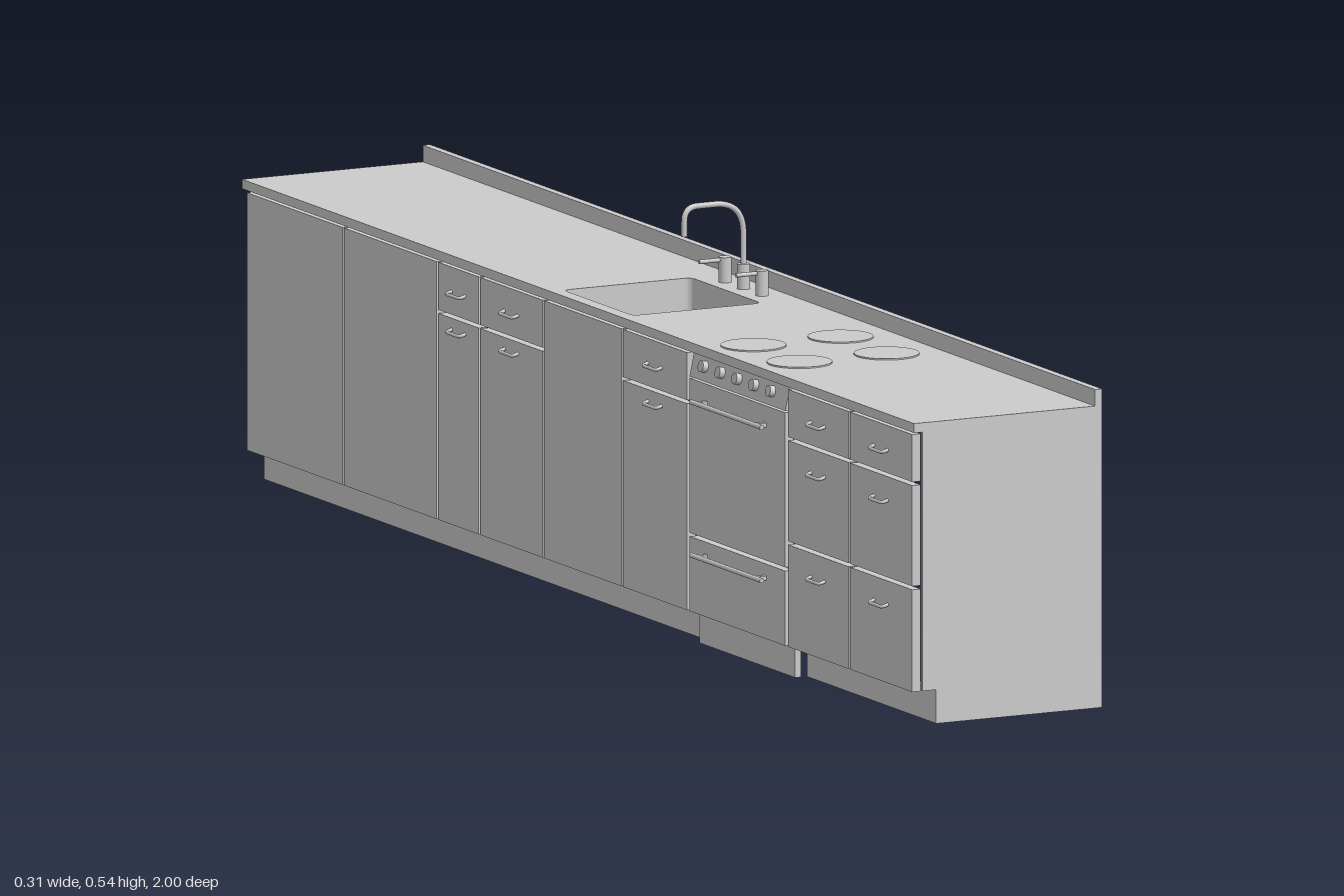
import * as THREE from 'three';

const material = new THREE.MeshStandardMaterial({ color: 0xcccccc, side: THREE.DoubleSide });

export function createModel() {
  const root = new THREE.Group();
  root.name = 'kitchenCounter';

  function add(name, geometry, x = 0, y = 0, z = 0) {
    const m = new THREE.Mesh(geometry, material);
    m.name = name;
    m.position.set(x, y, z);
    root.add(m);
    return m;
  }
  // box given by its limits
  function box(name, x0, x1, y0, y1, z0, z1) {
    return add(name, new THREE.BoxGeometry(x1 - x0, y1 - y0, z1 - z0),
      (x0 + x1) / 2, (y0 + y1) / 2, (z0 + z1) / 2);
  }
  function cylinder(name, r, h, x, y, z, sides = 20) {
    return add(name, new THREE.CylinderGeometry(r, r, h, sides), x, y, z);
  }
  function tube(name, points, r, segments = 24) {
    const path = new THREE.CurvePath();
    const p = points.map(a => new THREE.Vector3(...a));
    // straight runs joined by rounded corners
    let from = p[0];
    for (let i = 1; i < p.length - 1; i++) {
      const bend = Math.min(p[i].distanceTo(p[i - 1]), p[i].distanceTo(p[i + 1])) * 0.49;
      const a = p[i].clone().add(p[i - 1].clone().sub(p[i]).setLength(bend));
      const b = p[i].clone().add(p[i + 1].clone().sub(p[i]).setLength(bend));
      path.add(new THREE.LineCurve3(from, a));
      path.add(new THREE.QuadraticBezierCurve3(a, p[i], b));
      from = b;
    }
    path.add(new THREE.LineCurve3(from, p[p.length - 1]));
    return add(name, new THREE.TubeGeometry(path, segments, r, 10), 0, 0, 0);
  }
  function roundedRect(target, x0, x1, y0, y1, r) {
    target.moveTo(x0 + r, y0);
    target.lineTo(x1 - r, y0);
    target.quadraticCurveTo(x1, y0, x1, y0 + r);
    target.lineTo(x1, y1 - r);
    target.quadraticCurveTo(x1, y1, x1 - r, y1);
    target.lineTo(x0 + r, y1);
    target.quadraticCurveTo(x0, y1, x0, y1 - r);
    target.lineTo(x0, y0 + r);
    target.quadraticCurveTo(x0, y0, x0 + r, y0);
    return target;
  }
  // horizontal slab: shape coordinates are x and -z
  function slab(name, shape, y, height) {
    const g = new THREE.ExtrudeGeometry(shape, { depth: height, bevelEnabled: false, curveSegments: 6 });
    g.rotateX(-Math.PI / 2);
    return add(name, g, 0, y, 0);
  }

  // worktop with sink cutout, and upstand along the wall
  const top = new THREE.Shape([[-0.137, -1], [0.152, -1], [0.152, 1], [-0.137, 1]].map(a => new THREE.Vector2(...a)));
  const sinkHole = () => roundedRect(new THREE.Path(), -0.117, 0.08, -0.125, 0.083, 0.012);
  top.holes.push(sinkHole());
  slab('worktop', top, 0.407, 0.013);
  box('upstand', 0.141, 0.152, 0.42, 0.443, -1, 1);

  // sink basin
  const wall = roundedRect(new THREE.Shape(), -0.12, 0.083, -0.128, 0.086, 0.014);
  wall.holes.push(sinkHole());
  slab('sinkWalls', wall, 0.325, 0.082);
  slab('sinkFloor', roundedRect(new THREE.Shape(), -0.12, 0.083, -0.128, 0.086, 0.014), 0.325, 0.003);
  cylinder('sinkDrain', 0.012, 0.002, -0.018, 0.329, 0.02);

  // tap with two levers
  cylinder('tapBase', 0.009, 0.035, 0.107, 0.4375, 0.02);
  tube('tapSpout', [[0.107, 0.45, 0.02], [0.107, 0.541, 0.02], [0.016, 0.541, 0.02], [0.016, 0.5, 0.02]], 0.0042, 50);
  for (const z of [-0.035, 0.075]) {
    cylinder('tapValve', 0.009, 0.035, 0.107, 0.4375, z);
    const lever = cylinder('tapLever', 0.003, 0.04, 0.087, 0.451, z, 10);
    lever.rotation.z = Math.PI / 2;
  }

  // notched end panels
  const side = new THREE.Shape([[-0.103, 0], [0.152, 0], [0.152, 0.407], [-0.124, 0.407], [-0.124, 0.047], [-0.103, 0.047]]
    .map(a => new THREE.Vector2(...a)));
  for (const z of [-1, 0.995]) {
    add('endPanel', new THREE.ExtrudeGeometry(side, { depth: 0.005, bevelEnabled: false }), 0, 0, z);
  }

  // toe kicks on both sides of the oven
  box('toeKick', -0.103, -0.095, 0, 0.047, -0.995, 0.33);
  box('toeKick', -0.103, -0.095, 0, 0.047, 0.615, 0.995);

  // arched pull on a front
  function pull(y, z) {
    tube('pull', [[-0.136, y, z - 0.02], [-0.145, y - 0.003, z - 0.02], [-0.145, y - 0.003, z + 0.02], [-0.136, y, z + 0.02]], 0.0025);
  }
  function front(name, y0, y1, z0, z1) {
    const gap = 0.0025;
    box(name, -0.136, -0.123, y0 + gap, y1 - gap, z0 + gap, z1 - gap);
  }

  // tall plain fronts with a back panel behind them
  front('applianceDoor', 0.043, 0.406, -0.99, -0.7);
  front('applianceDoor', 0.043, 0.406, -0.7, -0.42);
  box('applianceBackPanel', -0.122, -0.105, 0.047, 0.407, -0.995, -0.42);
  front('sinkDoor', 0.043, 0.406, -0.105, 0.13);

  // drawer over door
  for (const [z0, z1] of [[-0.42, -0.295], [-0.295, -0.105], [0.13, 0.325]]) {
    front('drawer', 0.335, 0.406, z0, z1);
    front('door', 0.043, 0.335, z0, z1);
    pull(0.37, (z0 + z1) / 2);
    pull(0.317, (z0 + z1) / 2);
  }

  // drawer stacks
  for (const [z0, z1] of [[0.62, 0.805], [0.805, 0.995]]) {
    for (const [y0, y1, h] of [[0.043, 0.19, 0.155], [0.19, 0.335, 0.3], [0.335, 0.406, 0.37]]) {
      front('drawer', y0, y1, z0, z1);
      pull(h, (z0 + z1) / 2);
    }
  }

  // oven: body, door, lower drawer, control strip
  box('ovenBody', -0.121, -0.112, 0, 0.406, 0.33, 0.615);
  front('ovenDoor', 0.152, 0.372, 0.328, 0.617);
  front('ovenDrawer', 0.043, 0.152, 0.328, 0.617);
  const strip = new THREE.Shape([[-0.122, 0.372], [-0.136, 0.372], [-0.129, 0.406], [-0.122, 0.406]]
    .map(a => new THREE.Vector2(...a)));
  add('controlStrip', new THREE.ExtrudeGeometry(strip, { depth: 0.285, bevelEnabled: false }), 0, 0, 0.33);
  for (let i = 0; i < 5; i++) {
    const knob = cylinder('controlKnob', 0.008, 0.01, -0.135, 0.392, 0.37 + i * 0.05);
    knob.rotation.z = Math.PI / 2 - 0.2;
  }
  for (const y of [0.343, 0.13]) {
    const bar = cylinder('ovenHandle', 0.0035, 0.21, -0.15, y, 0.4675, 12);
    bar.rotation.x = Math.PI / 2;
    for (const z of [0.38, 0.555]) box('handlePost', -0.15, -0.135, y - 0.003, y + 0.003, z - 0.004, z + 0.004);
  }

  // hob rings
  for (const x of [-0.072, 0.062]) {
    for (const z of [0.396, 0.533]) cylinder('hobRing', 0.045, 0.002, x, 0.421, z, 40);
  }
  return root;
}
